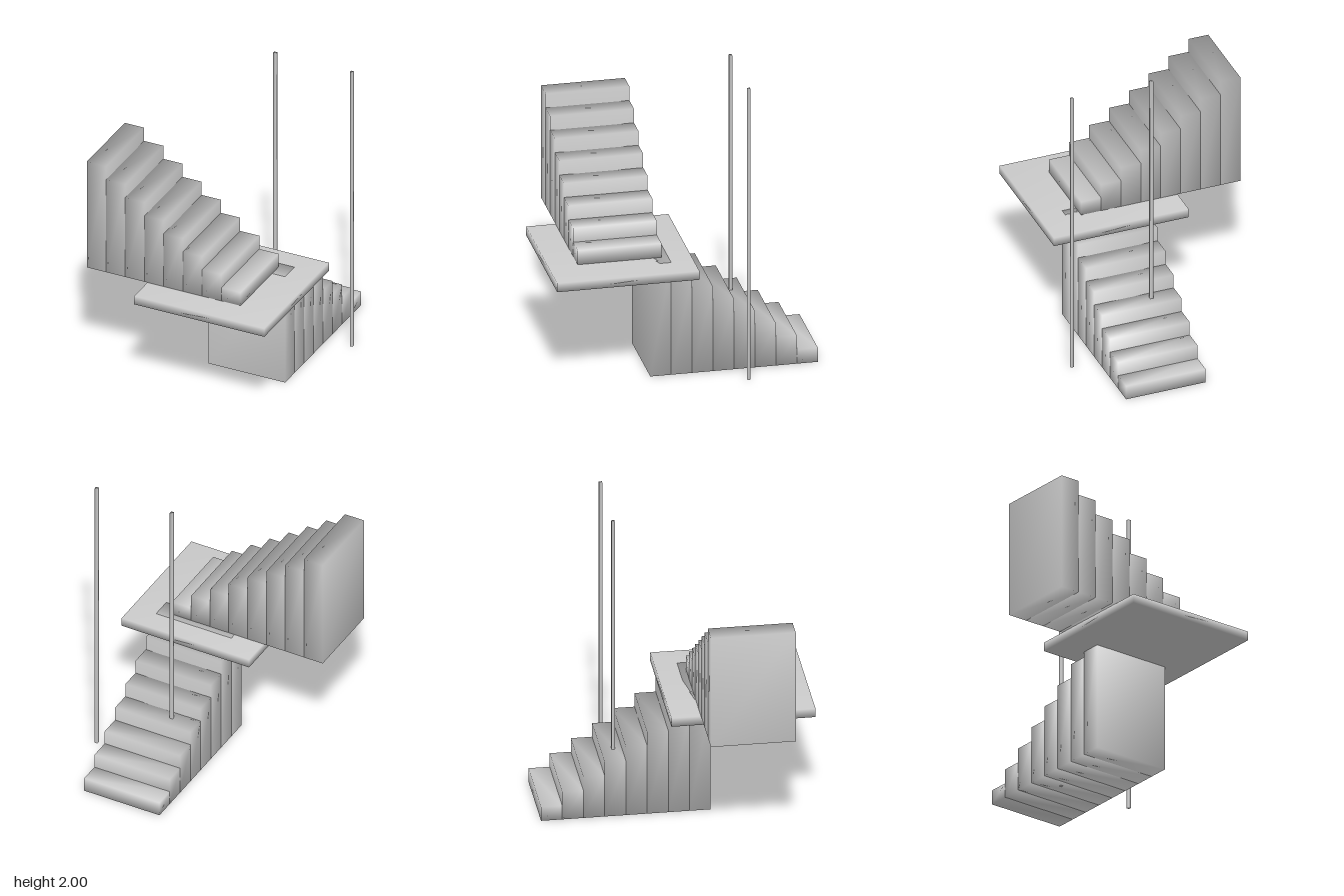
import * as THREE from 'three';
import { mergeVertices } from 'three/addons/utils/BufferGeometryUtils.js';

const material = new THREE.MeshStandardMaterial({ color: 0xcccccc });

// Box given by its two opposite corners, with corner normals shared and smoothed
function block(name, [x0, y0, z0], [x1, y1, z1]) {
  const box = new THREE.BoxGeometry(x1 - x0, y1 - y0, z1 - z0);
  box.deleteAttribute('normal');
  box.deleteAttribute('uv');
  const geometry = mergeVertices(box);
  geometry.computeVertexNormals();
  const mesh = new THREE.Mesh(geometry, material);
  mesh.name = name;
  mesh.position.set((x0 + x1) / 2, (y0 + y1) / 2, (z0 + z1) / 2);
  return mesh;
}

export function createModel() {
  const model = new THREE.Group();
  model.name = 'staircase';

  const steps = 8, tread = 0.135, rise = 0.0964, width = 0.54;
  const floor = steps * rise; // top of the landing

  // Lower flight climbs from the back towards the front
  const lowerFlight = new THREE.Group();
  lowerFlight.name = 'lowerFlight';
  // Upper flight turns and climbs from the landing towards -x
  const upperFlight = new THREE.Group();
  upperFlight.name = 'upperFlight';

  for (let i = 0; i < steps; i++) {
    const height = (i + 1) * rise;
    const z = -0.86 + i * tread;
    lowerFlight.add(block(`lowerStep${i + 1}`, [-0.048, 0, z], [-0.048 + width, height, z + tread]));
    const x = 0.4 - i * tread;
    upperFlight.add(block(`upperStep${i + 1}`, [x - tread, floor, 0.128], [x, floor + height, 0.128 + width]));
  }
  model.add(lowerFlight, upperFlight);

  // Square landing between the flights
  model.add(block('landing', [-0.254, floor - 0.06, -0.06], [0.66, floor, 0.857]));

  // Two slender square posts
  const half = 0.01, postZ = -0.376;
  [['rightPost', 0.127], ['leftPost', 0.666]].forEach(([name, x]) => {
    model.add(block(name, [x - half, 0, postZ - half], [x + half, 2, postZ + half]));
  });

  return model;
}
